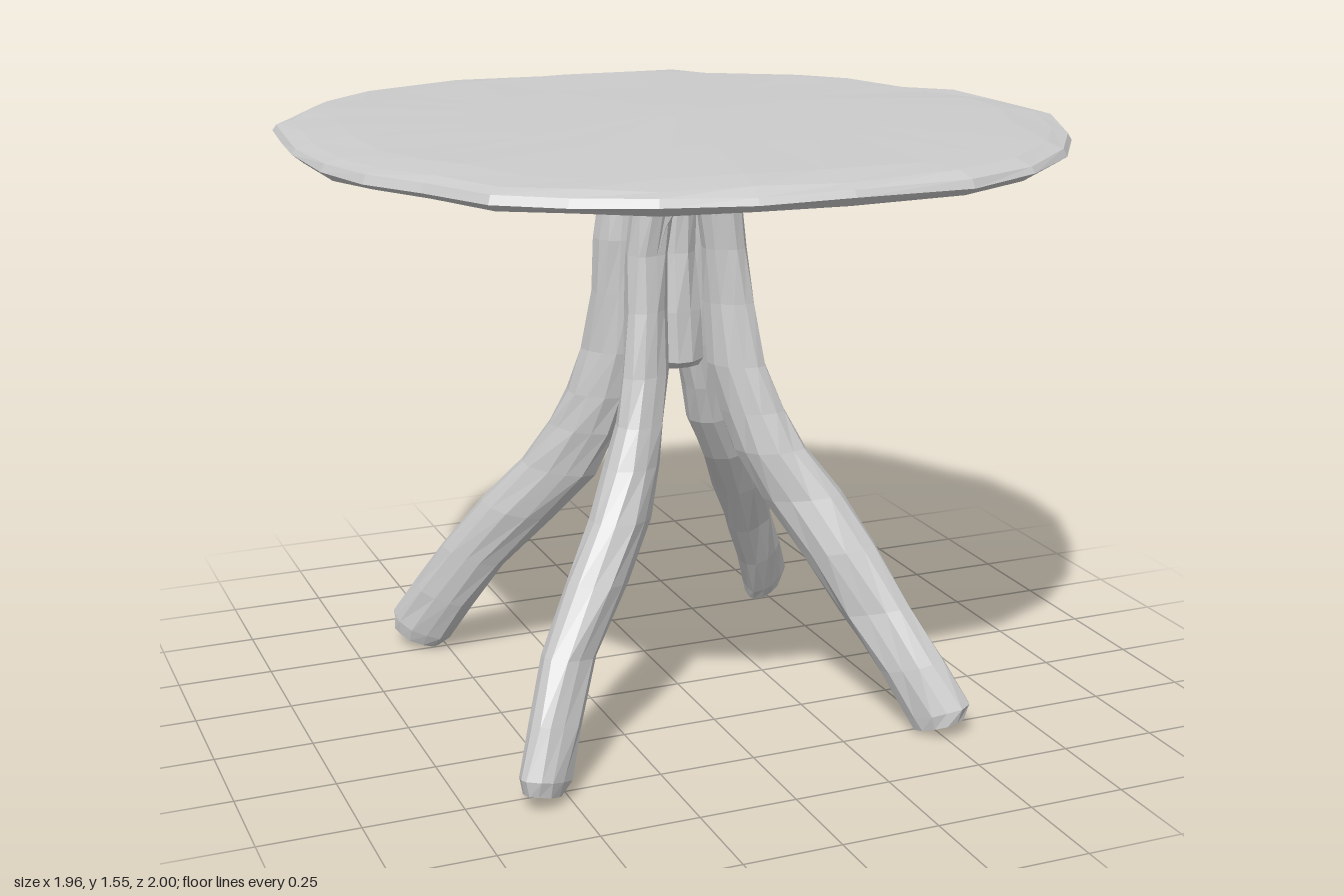
import * as THREE from 'three';

const material = new THREE.MeshStandardMaterial({ color: 0xcccccc, flatShading: true });

// Small seeded generator for the hand-hewn unevenness
let seed = 7;
const wobble = (amount) => {
  seed = (seed * 16807) % 2147483647;
  return (seed / 2147483647 - 0.5) * 2 * amount;
};

// Closed skin over rings ordered bottom to top, each running from +x toward +z
function loft(name, rings) {
  const n = rings[0].length, pos = [], idx = [];
  rings.forEach((ring) => ring.forEach((p) => pos.push(p.x, p.y, p.z)));
  for (let i = 0; i < rings.length - 1; i++) {
    for (let j = 0; j < n; j++) {
      const k = (j + 1) % n, a = i * n + j, b = i * n + k;
      idx.push(a, a + n, b, b, a + n, b + n);
    }
  }
  [rings[0], rings[rings.length - 1]].forEach((ring, end) => {
    const c = ring.reduce((s, p) => s.add(p), new THREE.Vector3()).divideScalar(n);
    const ci = pos.length / 3, start = end ? (rings.length - 1) * n : 0;
    pos.push(c.x, c.y, c.z);
    for (let j = 0; j < n; j++) {
      const a = start + j, b = start + ((j + 1) % n);
      if (end) idx.push(ci, b, a); else idx.push(ci, a, b);
    }
  });
  const g = new THREE.BufferGeometry();
  g.setAttribute('position', new THREE.Float32BufferAttribute(pos, 3));
  g.setIndex(idx);
  g.computeVertexNormals();
  const mesh = new THREE.Mesh(g, material);
  mesh.name = name;
  return mesh;
}

// Irregular live-edge outline of the top, as x, z pairs
const OUTLINE = [
  [0.98, 0], [0.96, 0.22], [0.85, 0.48], [0.7, 0.7], [0.51, 0.87], [0.3, 0.97], [0, 0.995],
  [-0.22, 0.985], [-0.43, 0.95], [-0.6, 0.87], [-0.74, 0.77], [-0.83, 0.58], [-0.92, 0.43],
  [-0.97, 0.25], [-0.98, 0], [-0.96, -0.2], [-0.94, -0.4], [-0.87, -0.52], [-0.78, -0.68],
  [-0.62, -0.84], [-0.31, -0.99], [0, -1], [0.25, -0.99], [0.37, -0.95], [0.46, -0.87],
  [0.68, -0.7], [0.78, -0.56], [0.87, -0.36], [0.95, -0.22],
];

function createTop() {
  // scale of the outline, height: underside, rim, upper face
  const profile = [
    [0.1, 1.435], [0.3, 1.45], [0.6, 1.464], [0.9, 1.475], [0.97, 1.482], [1, 1.5],
    [0.99, 1.518], [0.95, 1.53], [0.85, 1.538], [0.5, 1.546], [0.1, 1.552],
  ];
  return loft('tableTop', profile.map(([s, y], i) => OUTLINE.map(([x, z]) => {
    const rim = i > 2 && i < 9 ? wobble(0.004) : 0;
    return new THREE.Vector3(x * s, y + rim, z * s);
  })));
}

// Centre-line offsets per side, and half-widths along and across the lean
const HEIGHTS = [0.025, 0.06, 0.17, 0.3, 0.45, 0.58, 0.7, 0.8, 0.92, 1.08, 1.22, 1.35, 1.46];
const PATHS = {
  left: [0.5, 0.5, 0.45, 0.39, 0.32, 0.25, 0.18, 0.145, 0.11, 0.095, 0.08, 0.065, 0.05],
  right: [0.57, 0.56, 0.51, 0.44, 0.34, 0.25, 0.195, 0.165, 0.14, 0.13, 0.125, 0.11, 0.1],
  front: [0.54, 0.53, 0.47, 0.38, 0.3, 0.23, 0.18, 0.15, 0.125, 0.11, 0.1, 0.1, 0.1],
  back: [0.55, 0.54, 0.48, 0.41, 0.32, 0.24, 0.185, 0.155, 0.13, 0.115, 0.11, 0.115, 0.115],
};
const LONG = [0.065, 0.085, 0.085, 0.09, 0.1, 0.105, 0.095, 0.085, 0.08, 0.065, 0.06, 0.06, 0.06];
const WIDE = [0.045, 0.055, 0.055, 0.06, 0.07, 0.07, 0.065, 0.06, 0.055, 0.052, 0.05, 0.055, 0.055];

function createLeg(name, sx, sz) {
  const xs = PATHS[sx > 0 ? 'left' : 'right'], zs = PATHS[sz > 0 ? 'front' : 'back'];
  const heading = Math.atan2(sz, sx), sides = 12;
  return loft(name, HEIGHTS.map((y, i) => Array.from({ length: sides }, (_, j) => {
    const t = (j / sides) * Math.PI * 2;
    const u = Math.cos(t) * LONG[i] + wobble(0.005), v = Math.sin(t) * WIDE[i] + wobble(0.005);
    // lower rings tip outward to follow the lean of the leg
    const tilt = Math.max(0, 0.35 * (1 - y / 0.9));
    return new THREE.Vector3(
      sx * xs[i] + u * Math.cos(heading) - v * Math.sin(heading),
      Math.max(0, y + u * tilt),
      sz * zs[i] + u * Math.sin(heading) + v * Math.cos(heading),
    );
  })));
}

// Rough post held between the legs
function createPost() {
  const profile = [[0.9, 0.06, 0.06], [0.92, 0.075, 0.08], [1.05, 0.065, 0.075],
    [1.2, 0.055, 0.06], [1.34, 0.055, 0.055], [1.46, 0.07, 0.07]];
  return loft('centrePost', profile.map(([y, rx, rz]) => Array.from({ length: 10 }, (_, j) => {
    const t = (j / 10) * Math.PI * 2;
    return new THREE.Vector3(-0.01 + rx * Math.cos(t) + wobble(0.005), y, rz * Math.sin(t) + wobble(0.005));
  })));
}

// Arched bridge joining a pair of leg heads under the top
function createBridge(name, z) {
  const s = new THREE.Shape();
  s.moveTo(-0.15, 1.46);
  s.lineTo(-0.15, 1.2);
  s.lineTo(-0.1, 1.2);
  s.quadraticCurveTo(-0.09, 1.33, -0.02, 1.335);
  s.quadraticCurveTo(0.06, 1.33, 0.07, 1.2);
  s.lineTo(0.1, 1.2);
  s.lineTo(0.09, 1.46);
  const g = new THREE.ExtrudeGeometry(s, {
    depth: 0.06, curveSegments: 5, bevelSize: 0.01, bevelThickness: 0.015, bevelOffset: -0.01, bevelSegments: 1,
  });
  const mesh = new THREE.Mesh(g, material);
  mesh.name = name;
  mesh.position.z = z - 0.03;
  return mesh;
}

export function createModel() {
  seed = 7;
  const model = new THREE.Group();
  model.name = 'rusticTable';
  model.add(createTop(), createPost());
  for (const [sx, side] of [[1, 'Left'], [-1, 'Right']]) {
    for (const [sz, end] of [[1, 'front'], [-1, 'back']]) {
      model.add(createLeg(`${end}${side}Leg`, sx, sz));
    }
  }
  model.add(createBridge('frontBridge', 0.1), createBridge('backBridge', -0.11));
  return model;
}
